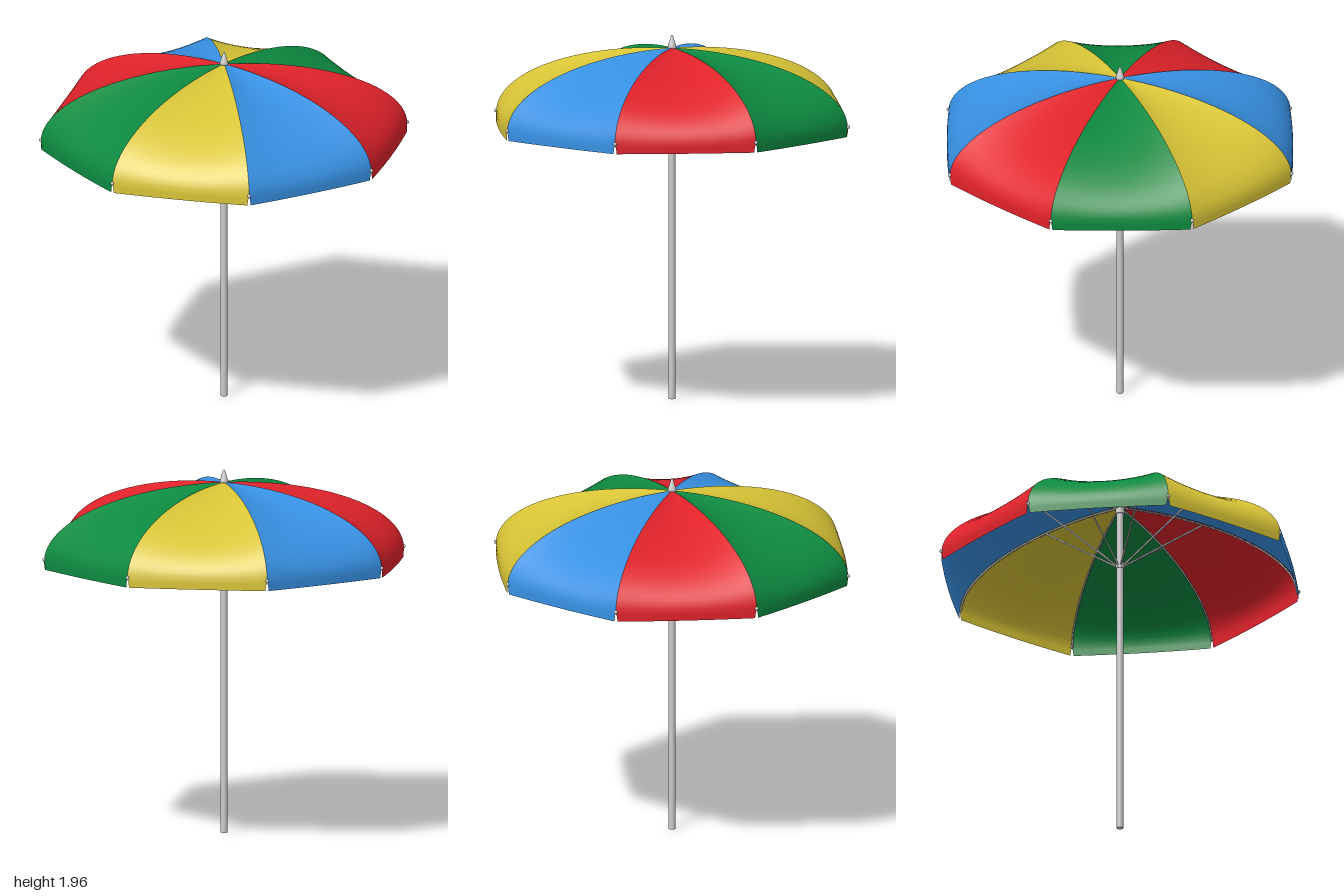
import * as THREE from 'three';

const RIBS = 8, STEP = Math.PI * 2 / RIBS;
const RADIUS = 0.985, RIM_Y = 1.5, RISE = 0.39, FLAP = 0.045;
const COLORS = [0x3790e2, 0xe0222a, 0x0d8a40, 0xd8c436];

const grey = new THREE.MeshStandardMaterial({ color: 0xcccccc });

// Direction around the pole, 0 = +z, turning toward +x
const polar = (a, r, y) => new THREE.Vector3(Math.sin(a) * r, y, Math.cos(a) * r);

// Point on a rib: a quarter ellipse from apex (t = 0) to rim (t = 1)
const ribPoint = (a, t, inset = 0) => polar(a,
  (RADIUS - inset) * Math.sin(t * Math.PI / 2),
  RIM_Y + (RISE - inset) * Math.cos(t * Math.PI / 2));

function part(name, geometry, parent, material = grey) {
  const mesh = new THREE.Mesh(geometry, material);
  mesh.name = name;
  parent.add(mesh);
  return mesh;
}

// Thin straight rod between two points
function rod(name, a, b, radius, parent) {
  return part(name, new THREE.TubeGeometry(new THREE.LineCurve3(a, b), 1, radius, 6), parent);
}

// Fabric panel stretched between two ribs, sagging mid-span, with a hanging flap
function panelGeometry(a0) {
  const cols = 14, domeRows = 24, flapRows = 4, rows = domeRows + flapRows;
  const geo = new THREE.PlaneGeometry(1, 1, cols, rows);
  const pos = geo.attributes.position;
  const mid = a0 + STEP / 2;
  for (let j = 0; j <= rows; j++) {
    const t = Math.min(j / domeRows, 1);
    const drop = Math.max(j - domeRows, 0) / flapRows;
    const left = ribPoint(a0, t), right = ribPoint(a0 + STEP, t);
    for (let i = 0; i <= cols; i++) {
      // flap corners are trimmed back from the ribs
      const u = 0.5 + (i / cols - 0.5) * (1 - 0.025 * Math.sqrt(drop));
      const bow = 4 * u * (1 - u);
      const p = left.clone().lerp(right, u);
      p.add(polar(mid, 0.012 * bow * t * t, 0));
      p.y -= 0.035 * bow * Math.sin(Math.PI * t) + FLAP * drop;
      pos.setXYZ(j * (cols + 1) + i, p.x, p.y, p.z);
    }
  }
  geo.computeVertexNormals();
  return geo;
}

export function createModel() {
  const model = new THREE.Group();
  model.name = 'parasol';

  // Pole, sliding hub and pointed finial
  part('pole', new THREE.CylinderGeometry(0.018, 0.018, 1.88, 20), model).position.y = 0.94;
  part('hub', new THREE.CylinderGeometry(0.024, 0.024, 0.03, 20), model).position.y = 1.54;
  part('topCollar', new THREE.CylinderGeometry(0.024, 0.024, 0.03, 20), model).position.y = 1.86;
  const finial = [[0, 1.88], [0.024, 1.885], [0.022, 1.9], [0.005, 1.955], [0, 1.96]];
  part('finial', new THREE.LatheGeometry(finial.map(p => new THREE.Vector2(...p)), 20), model);

  const canopy = new THREE.Group();
  canopy.name = 'canopy';
  const frame = new THREE.Group();
  frame.name = 'frame';
  model.add(canopy, frame);

  for (let k = 0; k < RIBS; k++) {
    const a = k * STEP;

    const fabric = new THREE.MeshStandardMaterial({ color: COLORS[k % 4], side: THREE.DoubleSide });
    part('canopyPanel', panelGeometry(a), canopy, fabric);

    // Curved rib just under the seam, with a small ball at its end
    const pts = Array.from({ length: 13 }, (_, i) => ribPoint(a, i / 12, 0.009));
    part('rib', new THREE.TubeGeometry(new THREE.CatmullRomCurve3(pts), 28, 0.005, 6), frame);
    part('ribTip', new THREE.SphereGeometry(0.01, 12, 8), frame)
      .position.copy(polar(a, 0.985, 1.508));

    // Stretcher from the hub to the rib
    rod('stretcher', polar(a, 0.02, 1.54), polar(a, 0.45, 1.832), 0.005, frame);
  }
  return model;
}
